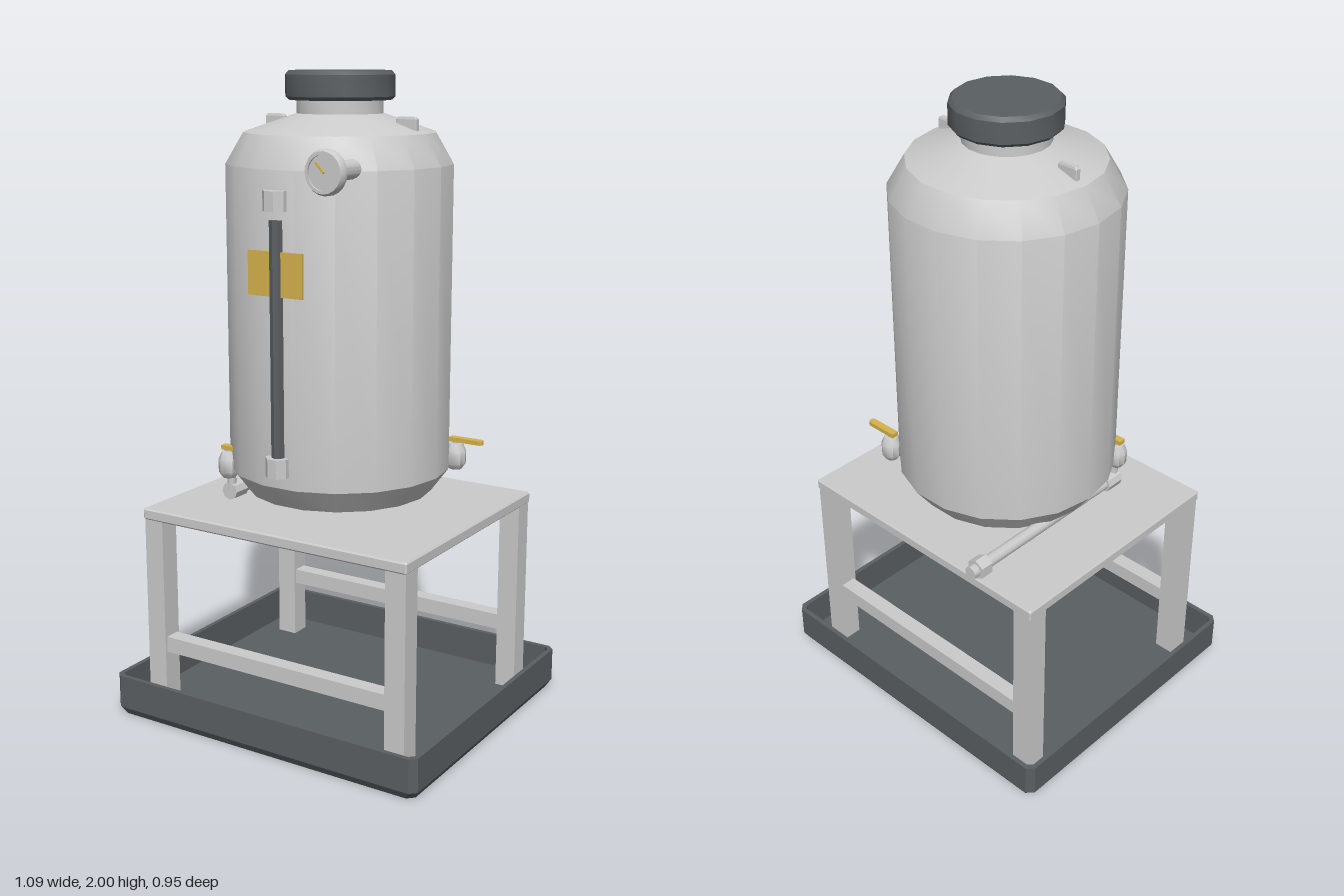
import * as THREE from 'three';
import { toCreasedNormals } from 'three/addons/utils/BufferGeometryUtils.js';

const steel = new THREE.MeshStandardMaterial({ color: 0xcccccc });
const flatSteel = new THREE.MeshStandardMaterial({ color: 0xcccccc, flatShading: true });
const dark = new THREE.MeshStandardMaterial({ color: 0x5a5f62 });
const flatDark = new THREE.MeshStandardMaterial({ color: 0x5a5f62, flatShading: true });
const brass = new THREE.MeshStandardMaterial({ color: 0xd6b24c });

function add(parent, name, geometry, material, x = 0, y = 0, z = 0) {
  const mesh = new THREE.Mesh(geometry, material);
  mesh.name = name;
  mesh.position.set(x, y, z);
  parent.add(mesh);
  return mesh;
}

const box = (w, h, d) => new THREE.BoxGeometry(w, h, d);

// Turned part from [radius, height] pairs, bottom to top
function turned(profile, sides, crease = 0.6) {
  const points = profile.map(([r, y]) => new THREE.Vector2(r, y));
  return toCreasedNormals(new THREE.LatheGeometry(points, sides, Math.PI / 2), crease);
}

// Skin through rectangular rings with cut corners: [half width, half depth, corner, height]
function rings(sections) {
  const loops = sections.map(([w, d, c, y]) => [
    [-w + c, y, d], [w - c, y, d], [w, y, d - c], [w, y, -d + c],
    [w - c, y, -d], [-w + c, y, -d], [-w, y, -d + c], [-w, y, d - c],
  ]);
  const positions = [];
  for (let i = 0; i < loops.length - 1; i++) {
    for (let j = 0; j < 8; j++) {
      const k = (j + 1) % 8;
      const [a, b, c, d] = [loops[i][j], loops[i][k], loops[i + 1][k], loops[i + 1][j]];
      positions.push(...a, ...b, ...c, ...a, ...c, ...d);
    }
  }
  const geometry = new THREE.BufferGeometry();
  geometry.setAttribute('position', new THREE.Float32BufferAttribute(positions, 3));
  geometry.computeVertexNormals();
  return geometry;
}

function createStand(root) {
  const stand = new THREE.Group();
  stand.name = 'stand';
  root.add(stand);
  add(stand, 'tableTop', rings([
    [0, 0, 0, 0.64], [0.465, 0.395, 0.004, 0.64], [0.47, 0.4, 0.004, 0.645],
    [0.47, 0.4, 0.004, 0.671], [0.466, 0.396, 0.004, 0.676], [0, 0, 0, 0.676],
  ]), flatSteel);
  for (const sz of [1, -1]) {
    for (const sx of [1, -1]) {
      add(stand, 'leg', box(0.067, 0.635, 0.067), steel, sx * 0.433, 0.3235, sz * 0.362);
    }
    add(stand, 'stretcher', box(0.8, 0.05, 0.05), steel, 0, 0.235, sz * 0.362);
  }
}

function createValve(root, name, x, z) {
  const valve = new THREE.Group();
  valve.name = name;
  valve.position.set(x, 0, z);
  root.add(valve);
  add(valve, 'valveBody', turned([
    [0, 0.765], [0.02, 0.768], [0.032, 0.785], [0.033, 0.825],
    [0.022, 0.85], [0.012, 0.852], [0.012, 0.857], [0, 0.857],
  ], 10), steel);
  // Lever with a rounded outer end
  const lever = new THREE.Shape();
  lever.moveTo(-0.02, -0.012);
  lever.lineTo(0.083, -0.012);
  lever.absarc(0.083, 0, 0.012, -Math.PI / 2, Math.PI / 2, false);
  lever.lineTo(-0.02, 0.012);
  const geometry = new THREE.ExtrudeGeometry(lever, { depth: 0.014, bevelEnabled: false, curveSegments: 4 });
  add(valve, 'valveLever', geometry.rotateX(-Math.PI / 2), brass, 0, 0.856, 0);
}

function createGauge(root) {
  const gauge = new THREE.Group();
  gauge.name = 'gauge';
  gauge.position.set(0.2, 1.735, 0);
  root.add(gauge);
  // Stem, flared case and recessed face, facing forward
  const body = turned([
    [0.028, 0.25], [0.028, 0.36], [0.052, 0.363], [0.064, 0.38], [0.064, 0.394],
    [0.058, 0.405], [0.049, 0.405], [0.049, 0.399], [0, 0.399],
  ], 20);
  add(gauge, 'gaugeCase', body.rotateX(Math.PI / 2), steel);
  add(gauge, 'gaugeNeedle', box(0.006, 0.038, 0.004), brass, -0.012, 0.013, 0.401).rotation.z = 0.75;
}

function createSightGlass(root) {
  const sight = new THREE.Group();
  sight.name = 'sightGlass';
  sight.position.z = 0.338;
  root.add(sight);
  add(sight, 'sightTube', new THREE.CylinderGeometry(0.021, 0.021, 0.72, 8), flatDark, 0, 1.23, 0);
  for (const y of [0.867, 1.645]) {
    const fitting = new THREE.CylinderGeometry(0.039, 0.039, 0.058, 8);
    add(sight, 'sightFitting', fitting, flatSteel, 0, y, 0).rotation.y = Math.PI / 8;
  }
}

function createDrain(root) {
  const drain = new THREE.Group();
  drain.name = 'drainPipe';
  drain.position.set(-0.26, 0.722, 0);
  root.add(drain);
  // Cylinders laid along z: [name, radius, start, end, sides]
  for (const [name, radius, z0, z1, sides] of [
    ['pipe', 0.02, -0.39, 0.22, 10],
    ['pipeUnion', 0.033, -0.41, -0.367, 6],
    ['pipeOutlet', 0.021, -0.432, -0.4, 10],
    ['pipeCollar', 0.028, 0.17, 0.232, 8],
  ]) {
    const geometry = new THREE.CylinderGeometry(radius, radius, z1 - z0, sides).rotateX(Math.PI / 2);
    add(drain, name, geometry, sides === 10 ? steel : flatSteel, 0, 0, (z0 + z1) / 2);
  }
  add(drain, 'riser', new THREE.CylinderGeometry(0.014, 0.014, 0.06, 8), steel, 0, 0.03, 0.22);
}

export function createModel() {
  const model = new THREE.Group();
  model.name = 'storageTank';

  // Open tray with thin walls
  add(model, 'tray', rings([
    [0, 0, 0, 0], [0.53, 0.458, 0.02, 0], [0.545, 0.473, 0.02, 0.025], [0.545, 0.473, 0.02, 0.13],
    [0.53, 0.458, 0.014, 0.13], [0.53, 0.458, 0.014, 0.02], [0, 0, 0, 0.02],
  ]), flatDark);

  createStand(model);

  // Vessel with conical base, sloping shoulder and neck
  add(model, 'vessel', turned([
    [0, 0.682], [0.289, 0.727], [0.343, 0.8], [0.343, 1.73],
    [0.289, 1.822], [0.13, 1.876], [0.13, 1.925],
  ], 18), steel);
  add(model, 'cap', turned([
    [0, 1.915], [0.155, 1.915], [0.164, 1.925], [0.164, 1.988], [0.153, 2.0], [0, 2.0],
  ], 14), dark);

  // Lifting lugs with cut top corners
  for (const side of [1, -1]) {
    const lug = rings([
      [0.034, 0.009, 0.002, 1.81], [0.034, 0.009, 0.002, 1.863],
      [0.028, 0.007, 0.002, 1.87], [0, 0, 0, 1.87],
    ]);
    add(model, 'liftingLug', lug, flatSteel, side * 0.23, 0, 0);
  }

  add(model, 'plate', box(0.187, 0.13, 0.008), brass, -0.002, 1.436, 0.341);
  createSightGlass(model);
  createGauge(model);
  createDrain(model);
  createValve(model, 'frontValve', -0.262, 0.23);
  createValve(model, 'backValve', 0.287, -0.232);
  return model;
}
